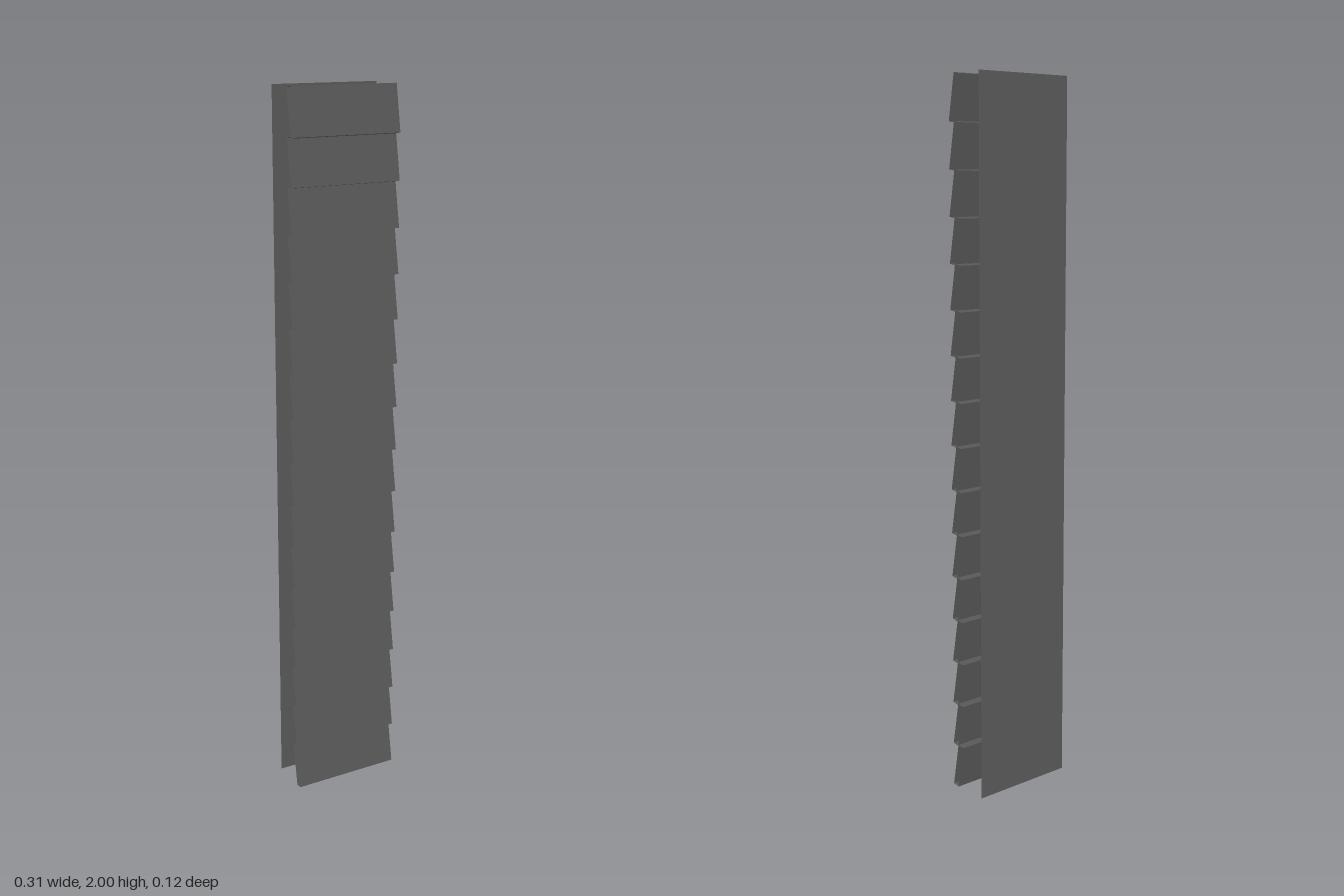
import * as THREE from 'three';

const HEIGHT = 2, WIDTH = 0.313, COUNT = 16;
const TILT = 0.174, THICKNESS = 0.0213;

export function createModel() {
  const model = new THREE.Group();
  model.name = 'sidingPanel';
  const darkGrey = new THREE.MeshStandardMaterial({ color: 0x555555, side: THREE.DoubleSide });
  darkGrey.name = 'darkGrey';

  // Each board covers one step; the tilted bottom edge drops slightly below it
  const lip = THICKNESS * Math.sin(TILT);
  const step = (HEIGHT - lip) / COUNT;

  // Board open at both ends: drop the two side faces of the box
  const board = new THREE.BoxGeometry(WIDTH, step / Math.cos(TILT), THICKNESS);
  board.setIndex(Array.from(board.index.array).slice(12));
  board.clearGroups();

  // Overlapping boards, bottoms leaning forward
  const boards = new THREE.Group();
  boards.name = 'boards';
  for (let i = 0; i < COUNT; i++) {
    const mesh = new THREE.Mesh(board, darkGrey);
    mesh.name = `board${i + 1}`;
    mesh.position.set(0, (i + 0.5) * step + lip / 2, 0.0405);
    mesh.rotation.x = -TILT;
    boards.add(mesh);
  }
  model.add(boards);

  // Flat sheet behind the boards, facing backwards
  const backing = new THREE.Mesh(new THREE.PlaneGeometry(WIDTH, HEIGHT), darkGrey);
  backing.name = 'backingSheet';
  backing.position.set(0, HEIGHT / 2, -0.062);
  backing.rotation.y = Math.PI;
  model.add(backing);

  return model;
}
